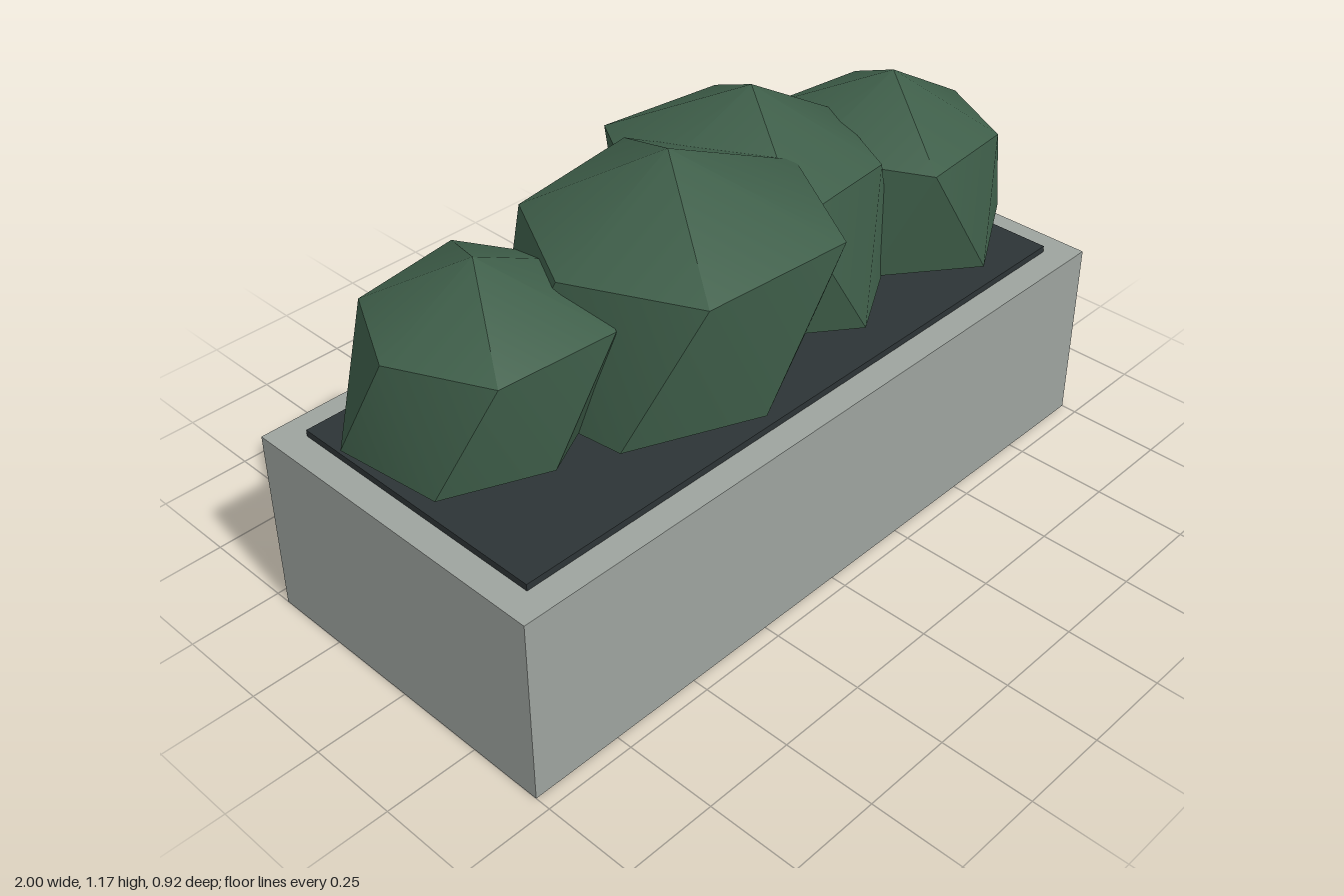
import * as THREE from 'three';
import { toCreasedNormals } from 'three/addons/utils/BufferGeometryUtils.js';

// Faceted bush: a top point, two six-sided rings set half a step apart, a bottom point
function bushGeometry() {
  const top = [0, 0.37, 0], bottom = [0, -0.37, 0];
  const upper = [[0.4, 0.19, 0.03], [0.2, 0.19, 0.36], [-0.2, 0.18, 0.32],
    [-0.34, 0.17, -0.01], [-0.18, 0.175, -0.31], [0.2, 0.185, -0.35]];
  const lower = [[0.3, -0.19, 0.17], [-0.02, -0.19, 0.33], [-0.34, -0.2, 0.18],
    [-0.37, -0.215, -0.21], [-0.01, -0.215, -0.42], [0.32, -0.2, -0.2]];
  const points = [];
  for (let i = 0; i < 6; i++) {
    const j = (i + 1) % 6;
    points.push(...top, ...upper[j], ...upper[i]);
    points.push(...upper[i], ...upper[j], ...lower[i]);
    points.push(...upper[j], ...lower[j], ...lower[i]);
    points.push(...bottom, ...lower[i], ...lower[j]);
  }
  const geo = new THREE.BufferGeometry();
  geo.setAttribute('position', new THREE.Float32BufferAttribute(points, 3));
  return toCreasedNormals(geo, Math.PI / 6);
}

export function createModel() {
  const model = new THREE.Group();
  model.name = 'planter';
  const material = (name, color) => {
    const m = new THREE.MeshStandardMaterial({ color });
    m.name = name;
    return m;
  };
  const concrete = material('concrete', 0x9ea49f);
  const soilDark = material('dark soil', 0x2d3436);
  const foliage = material('foliage green', 0x3f5f4a);

  const add = (name, geo, mat, x, y, z) => {
    const mesh = new THREE.Mesh(geo, mat);
    mesh.name = name;
    mesh.position.set(x, y, z);
    model.add(mesh);
    return mesh;
  };

  // Trough and soil bed
  add('trough', new THREE.BoxGeometry(2, 0.515, 0.915), concrete, 0, 0.2575, 0);
  add('soil', new THREE.BoxGeometry(1.85, 0.04, 0.765), soilDark, 0, 0.513, 0);

  // Row of bushes: name, x, y, z, scale, turn
  const bush = bushGeometry();
  const bushes = [
    ['rightBush', -0.66, 0.745, -0.05, 0.78, 0],
    ['bigBush', -0.2, 0.8, 0.09, 1, 0],
    ['backBush', 0.25, 0.765, -0.07, 0.92, Math.PI],
    ['leftBush', 0.68, 0.735, 0.03, 0.78, Math.PI],
  ];
  for (const [name, x, y, z, scale, turn] of bushes) {
    const mesh = add(name, bush, foliage, x, y, z);
    mesh.scale.setScalar(scale);
    mesh.rotation.y = turn;
  }
  return model;
}
